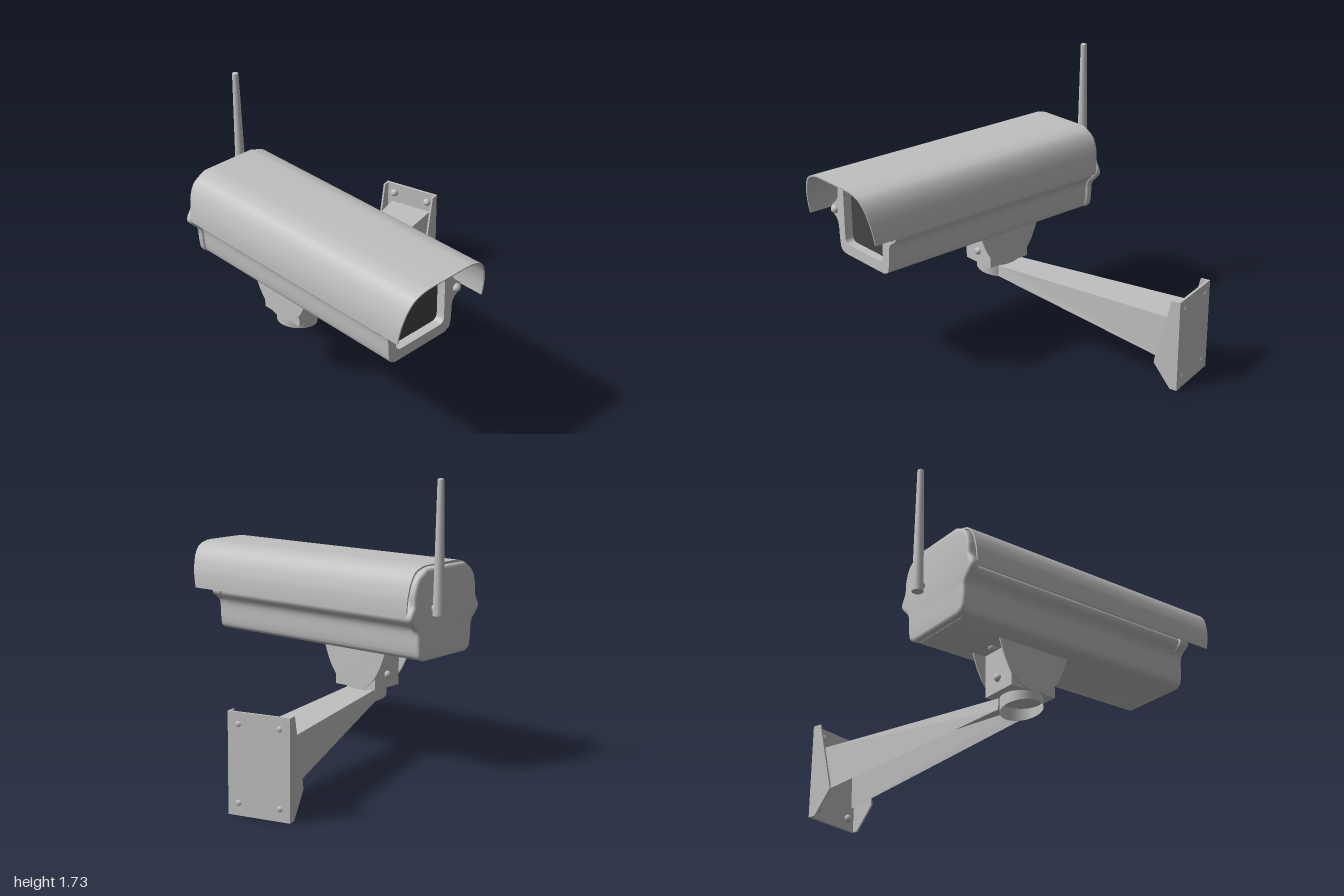
import * as THREE from 'three';
import { toCreasedNormals } from 'three/addons/utils/BufferGeometryUtils.js';

const metal = new THREE.MeshStandardMaterial({ color: 0xc0c0c0 });
metal.name = 'light grey metal';
metal.side = THREE.DoubleSide;
const dark = new THREE.MeshStandardMaterial({ color: 0x444444 });
dark.name = 'dark glass';

function add(parent, name, geometry, x = 0, y = 0, z = 0, material = metal) {
  const mesh = new THREE.Mesh(geometry, material);
  mesh.name = name;
  mesh.position.set(x, y, z);
  parent.add(mesh);
  return mesh;
}

// Mirrors a half outline [half width, y] from bottom to top and smooths it
function outline(half) {
  const right = half.map(([w, y]) => new THREE.Vector2(w, y));
  const left = half.map(([w, y]) => new THREE.Vector2(-w, y)).reverse();
  const shape = new THREE.Shape();
  shape.moveTo(right[0].x, right[0].y);
  shape.splineThru(right.slice(1));
  shape.lineTo(left[0].x, left[0].y);
  shape.splineThru(left.slice(1));
  shape.closePath();
  return shape;
}

function roundedRect(path, x, y, w, h, r) {
  path.moveTo(x + r, y);
  path.lineTo(x + w - r, y);
  path.quadraticCurveTo(x + w, y, x + w, y + r);
  path.lineTo(x + w, y + h - r);
  path.quadraticCurveTo(x + w, y + h, x + w - r, y + h);
  path.lineTo(x + r, y + h);
  path.quadraticCurveTo(x, y + h, x, y + h - r);
  path.lineTo(x, y + r);
  path.quadraticCurveTo(x, y, x + r, y);
  return path;
}

// Extrudes a cross-section along +x, from x0 to x1, with an optional rounded rim
function along(shape, x0, x1, bevel = 0) {
  const g = new THREE.ExtrudeGeometry(shape, {
    depth: x1 - x0 - 2 * bevel, curveSegments: 5, bevelEnabled: bevel > 0,
    bevelThickness: bevel, bevelSize: bevel, bevelOffset: -bevel, bevelSegments: 3,
  });
  g.rotateY(Math.PI / 2);
  g.translate(x0 + bevel, 0, 0);
  return g;
}

const smooth = (g) => toCreasedNormals(g, 0.6);

// Thin plate from a list of corners
function polygon(points, depth) {
  const shape = new THREE.Shape(points.map(([x, y]) => new THREE.Vector2(x, y)));
  return new THREE.ExtrudeGeometry(shape, { depth, bevelEnabled: false });
}

function quads(corners) {
  const g = new THREE.BufferGeometry();
  const pos = [];
  for (const [a, b, c, d] of corners) pos.push(...a, ...b, ...c, ...a, ...c, ...d);
  g.setAttribute('position', new THREE.Float32BufferAttribute(pos, 3));
  g.computeVertexNormals();
  return g;
}

function buildCamera() {
  const cam = new THREE.Group();
  cam.name = 'cameraHead';

  // Housing with side flanges
  const bodyHalf = [[0.19, 0.69], [0.228, 0.71], [0.24, 0.76], [0.246, 0.85], [0.262, 0.89],
    [0.295, 0.925], [0.295, 0.96], [0.25, 1.02], [0.238, 1.1], [0.225, 1.16], [0.17, 1.19]];
  add(cam, 'housing', smooth(along(outline(bodyHalf), -0.535, 0.937)));

  // Front frame around the recessed window
  const frontHalf = bodyHalf.map(([w, y]) => [w > 0.28 ? w + 0.014 : w, y]);
  const frame = outline(frontHalf);
  frame.holes.push(roundedRect(new THREE.Path(), -0.185, 0.756, 0.37, 0.37, 0.04));
  add(cam, 'frontFrame', smooth(along(frame, 0.937, 1.0)));
  const pane = roundedRect(new THREE.Shape(), -0.185, 0.756, 0.37, 0.37, 0.04);
  add(cam, 'window', along(pane, 0.938, 0.946), 0, 0, 0, dark);

  // Rear cap
  const capHalf = [[0.2, 0.69], [0.242, 0.715], [0.255, 0.78], [0.262, 0.86], [0.3, 0.905],
    [0.33, 0.94], [0.325, 0.975], [0.3, 1.02], [0.295, 1.09], [0.262, 1.17], [0.18, 1.222]];
  add(cam, 'rearCap', smooth(along(outline(capHalf), -0.575, -0.525, 0.018)));

  // Sun hood: thin arched shell with a raked front edge
  const arch = [[0.325, 0.947], [0.324, 1.0], [0.315, 1.07], [0.288, 1.15], [0.245, 1.205], [0.18, 1.23], [0.12, 1.235]];
  const outer = arch.map(([w, y]) => new THREE.Vector2(w, y));
  const outerL = arch.map(([w, y]) => new THREE.Vector2(-w, y)).reverse();
  const inner = outer.map((p) => new THREE.Vector2(p.x - 0.008, Math.max(0.947, p.y - 0.008)));
  const innerL = inner.map((p) => new THREE.Vector2(-p.x, p.y)).reverse();
  const shell = new THREE.Shape();
  shell.moveTo(outer[0].x, outer[0].y);
  shell.splineThru(outer.slice(1));
  shell.lineTo(outerL[0].x, outerL[0].y);
  shell.splineThru(outerL.slice(1));
  shell.lineTo(-inner[0].x, inner[0].y);
  shell.splineThru(innerL.slice().reverse().slice(1));
  shell.lineTo(inner[inner.length - 1].x, inner[inner.length - 1].y);
  shell.splineThru(inner.slice().reverse().slice(1));
  shell.closePath();
  const hood = along(shell, -0.535, 1.195);
  const p = hood.attributes.position;
  for (let i = 0; i < p.count; i++) {
    if (p.getX(i) > 1) p.setX(i, 1.195 - 0.052 * (1.235 - p.getY(i)) / 0.288);
  }
  add(cam, 'sunHood', smooth(hood));

  // Screws on the frame ears
  for (const s of [-1, 1]) add(cam, 'frameScrew', new THREE.SphereGeometry(0.026, 16, 10), 1.0, 0.945, s * 0.275);

  // Antenna on a short rear socket
  add(cam, 'antenna', new THREE.CylinderGeometry(0.019, 0.033, 0.77, 14), -0.607, 1.335, -0.121);
  add(cam, 'antennaTip', new THREE.SphereGeometry(0.0185, 14, 8).scale(1, 0.4, 1), -0.607, 1.72, -0.121);
  add(cam, 'antennaSocket', new THREE.CylinderGeometry(0.024, 0.024, 0.05, 14).rotateZ(Math.PI / 2), -0.585, 0.99, -0.121);

  // Swivel yoke: rounded cheeks on a box core
  const cheek = new THREE.Shape();
  cheek.moveTo(-0.235, 0.695);
  cheek.bezierCurveTo(-0.19, 0.55, -0.13, 0.435, 0, 0.435);
  cheek.bezierCurveTo(0.13, 0.435, 0.19, 0.55, 0.235, 0.695);
  for (const s of [-1, 1]) {
    const g = new THREE.ExtrudeGeometry(cheek, { depth: 0.01, bevelEnabled: false, curveSegments: 16 });
    add(cam, 'yokeCheek', smooth(g), 0, 0, s * 0.12 - 0.005);
    add(cam, 'yokeScrew', new THREE.SphereGeometry(0.024, 14, 10), s * 0.15, 0.52, 0);
    add(cam, 'bodyScrew', new THREE.SphereGeometry(0.024, 14, 10), s * 0.19, 0.69, 0);
  }
  add(cam, 'yokeCore', new THREE.BoxGeometry(0.3, 0.255, 0.23), 0, 0.5675, 0);

  cam.rotation.y = -Math.PI / 12;
  cam.position.set(-0.3, 0, 0.39);
  return cam;
}

function buildMount() {
  const mount = new THREE.Group();
  mount.name = 'wallMount';

  // Open ring with a sloping lower edge
  const ring = new THREE.CylinderGeometry(0.12, 0.12, 0.06, 32, 1, true);
  const p = ring.attributes.position;
  for (let i = 0; i < p.count; i++) {
    if (p.getY(i) < 0) p.setY(i, -0.035 + 0.17 * p.getZ(i));
  }
  add(mount, 'pivotRing', ring, 0, 0.405, 0.395);
  add(mount, 'pivotTop', new THREE.CylinderGeometry(0.12, 0.12, 0.008, 32), 0, 0.432, 0.395);

  // Tapered arm, a channel open below
  const wall = (s) => [[s * 0.092, 0.43, 0.31], [s * 0.142, 0.43, -0.99], [s * 0.152, 0.14, -0.99], [s * 0.098, 0.362, 0.31]];
  const [l, r] = [wall(-1), wall(1)];
  add(mount, 'arm', quads([[l[0], r[0], r[1], l[1]], l.slice().reverse(), r]));

  // Wall plate with two shaped side flanges
  add(mount, 'wallPlate', new THREE.BoxGeometry(0.366, 0.565, 0.015), 0, 0.2825, -0.9925);
  const flange = [[-1, 0], [-0.955, 0], [-0.845, 0.14], [-0.848, 0.17], [-0.945, 0.565], [-1, 0.565]];
  for (const s of [-1, 1]) {
    const g = polygon(flange.map(([z, y]) => [-z, y]), 0.012);
    g.rotateY(Math.PI / 2);
    add(mount, 'sideFlange', g, s * 0.178 - 0.006, 0, 0);
    for (const y of [0.07, 0.5]) {
      add(mount, 'wallScrew', new THREE.SphereGeometry(0.025, 14, 10), s * 0.122, y, -0.982);
    }
  }
  mount.position.x = -0.295;
  return mount;
}

export function createModel() {
  const model = new THREE.Group();
  model.name = 'securityCamera';
  model.add(buildCamera(), buildMount());
  return model;
}
